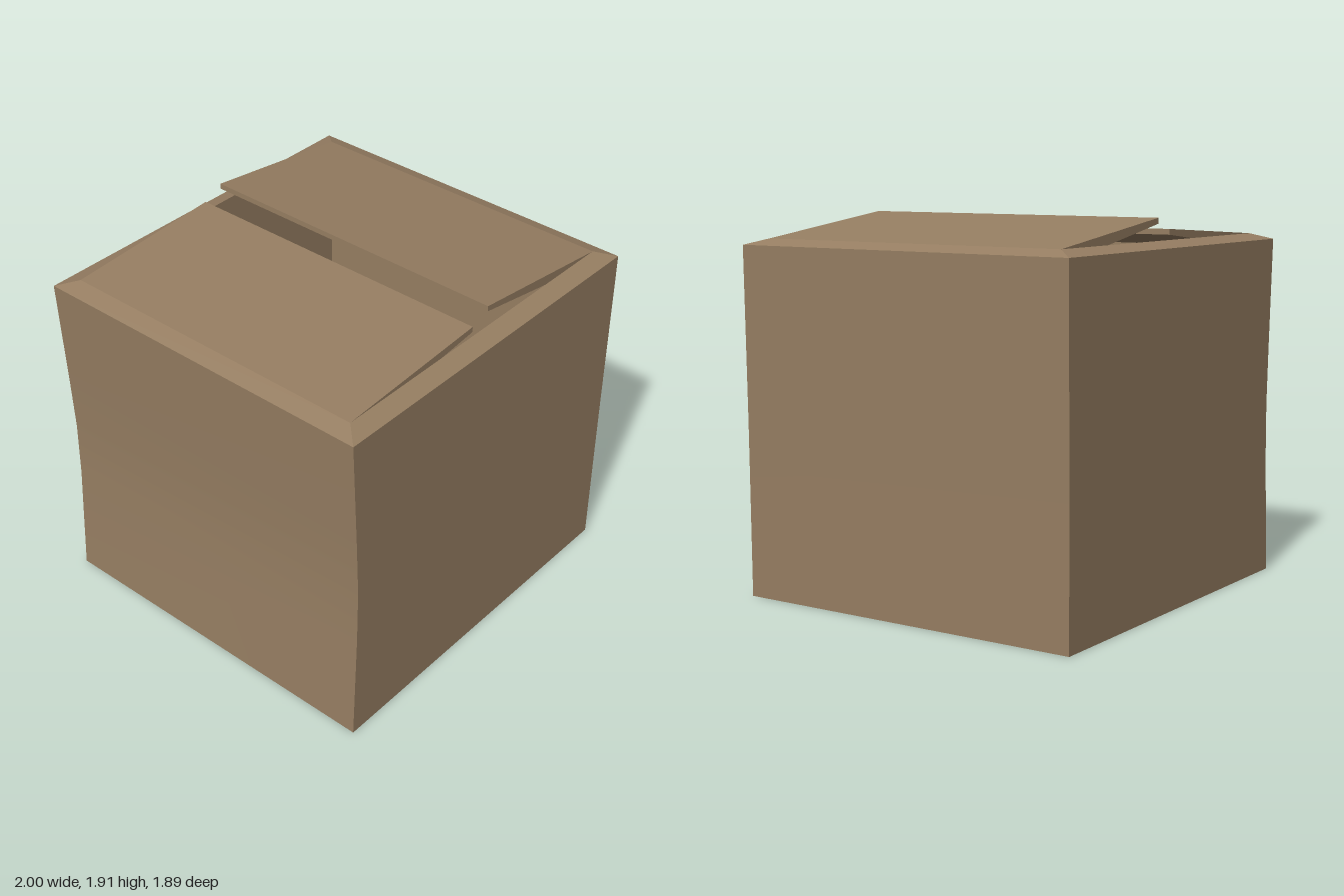
import * as THREE from 'three';
import { toCreasedNormals } from 'three/addons/utils/BufferGeometryUtils.js';

// Skin a stack of four-cornered rings; each ring is a list of [x, y, z] corners.
function skinRings(rings) {
  const pos = [], index = [];
  rings.forEach((ring) => ring.forEach((p) => pos.push(...p)));
  for (let r = 0; r < rings.length - 1; r++) {
    for (let i = 0; i < 4; i++) {
      const a = r * 4 + i, b = r * 4 + (i + 1) % 4;
      index.push(a, b, b + 4, a, b + 4, a + 4);
    }
  }
  // close both ends: underside and inner floor
  const n = (rings.length - 1) * 4;
  index.push(0, 2, 1, 0, 3, 2, n, n + 1, n + 2, n, n + 2, n + 3);
  const geo = new THREE.BufferGeometry();
  geo.setAttribute('position', new THREE.Float32BufferAttribute(pos, 3));
  geo.setIndex(index);
  return toCreasedNormals(geo, 0.25);
}

// Counter-clockwise ring seen from above; skew pulls the front right corner in.
const ring = (y, x0, x1, z, skew = 0) => [
  [x0 + skew, y, z], [x1, y, z], [x1, y, -z], [x0, y, -z],
];

export function createModel() {
  const group = new THREE.Group();
  const cardboard = new THREE.MeshStandardMaterial({ color: 0x967e62 });
  cardboard.name = 'cardboard';

  // Hollow carton: dented outer walls, sloping rim, inner walls and floor
  const carton = new THREE.Mesh(skinRings([
    ring(0, -1, 0.98, 0.945, 0.012),
    ring(0.6, -0.965, 0.983, 0.945),
    ring(0.9, -0.96, 0.985, 0.945),
    ring(1.2, -0.972, 0.989, 0.945),
    ring(1.77, -1, 0.997, 0.945),
    ring(1.8, -0.91, 0.91, 0.85),
    ring(1.73, -0.91, 0.91, 0.85),
    ring(0.9, -0.88, 0.91, 0.85),
    ring(0.06, -0.91, 0.91, 0.85),
  ]), cardboard);
  carton.name = 'carton';
  group.add(carton);

  // Lid flaps: tapered boards hinged on the rim, extruded along z
  const addFlap = (name, side, tipX, tipY) => {
    const profile = new THREE.Shape([
      [0.91, 1.8], [tipX, tipY], [tipX, tipY - 0.028], [0.91, 1.73],
    ].map(([x, y]) => new THREE.Vector2(side * x, y)));
    const geo = new THREE.ExtrudeGeometry(profile, { depth: 1.7, bevelEnabled: false });
    geo.translate(0, 0, -0.85);
    const flap = new THREE.Mesh(geo, cardboard);
    flap.name = name;
    group.add(flap);
  };
  addFlap('leftFlap', 1, 0.053, 1.91);
  addFlap('rightFlap', -1, 0.057, 1.853);

  return group;
}
